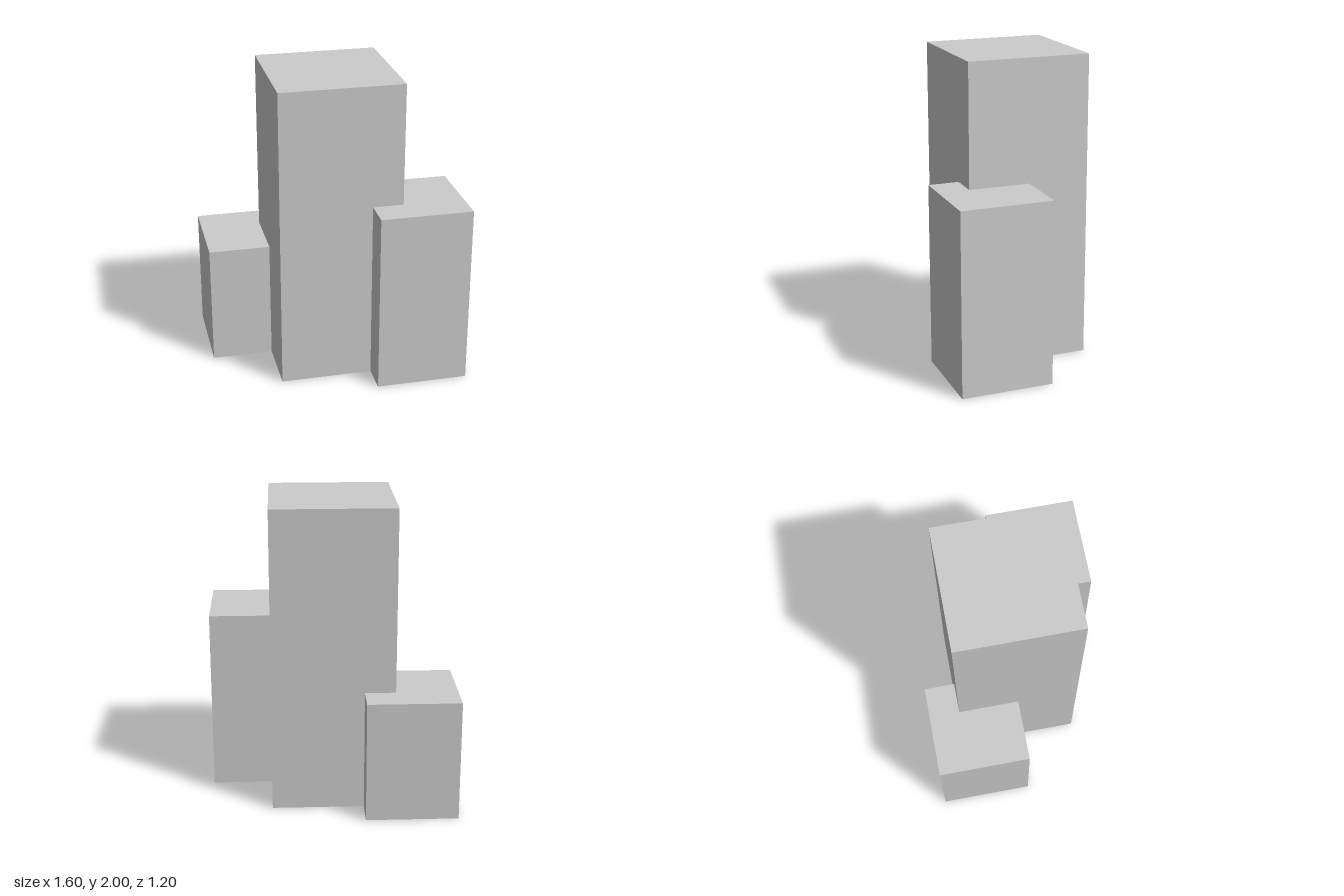
import * as THREE from 'three';

const material = new THREE.MeshStandardMaterial({ color: 0xcccccc, flatShading: true });

// Square block standing on the ground, centred on (x, z)
function block(name, width, height, x, z) {
  const mesh = new THREE.Mesh(new THREE.BoxGeometry(width, height, width), material);
  mesh.name = name;
  mesh.position.set(x, height / 2, z);
  return mesh;
}

export function createModel() {
  const group = new THREE.Group();
  group.name = 'towerBlocks';
  group.add(
    block('mainTower', 0.8, 2, 0, 0),
    // Lower blocks overlap opposite corners of the tower
    block('frontLeftBlock', 0.6, 1.2, 0.5, 0.3),
    block('backRightBlock', 0.6, 0.8, -0.5, -0.3),
  );
  return group;
}
